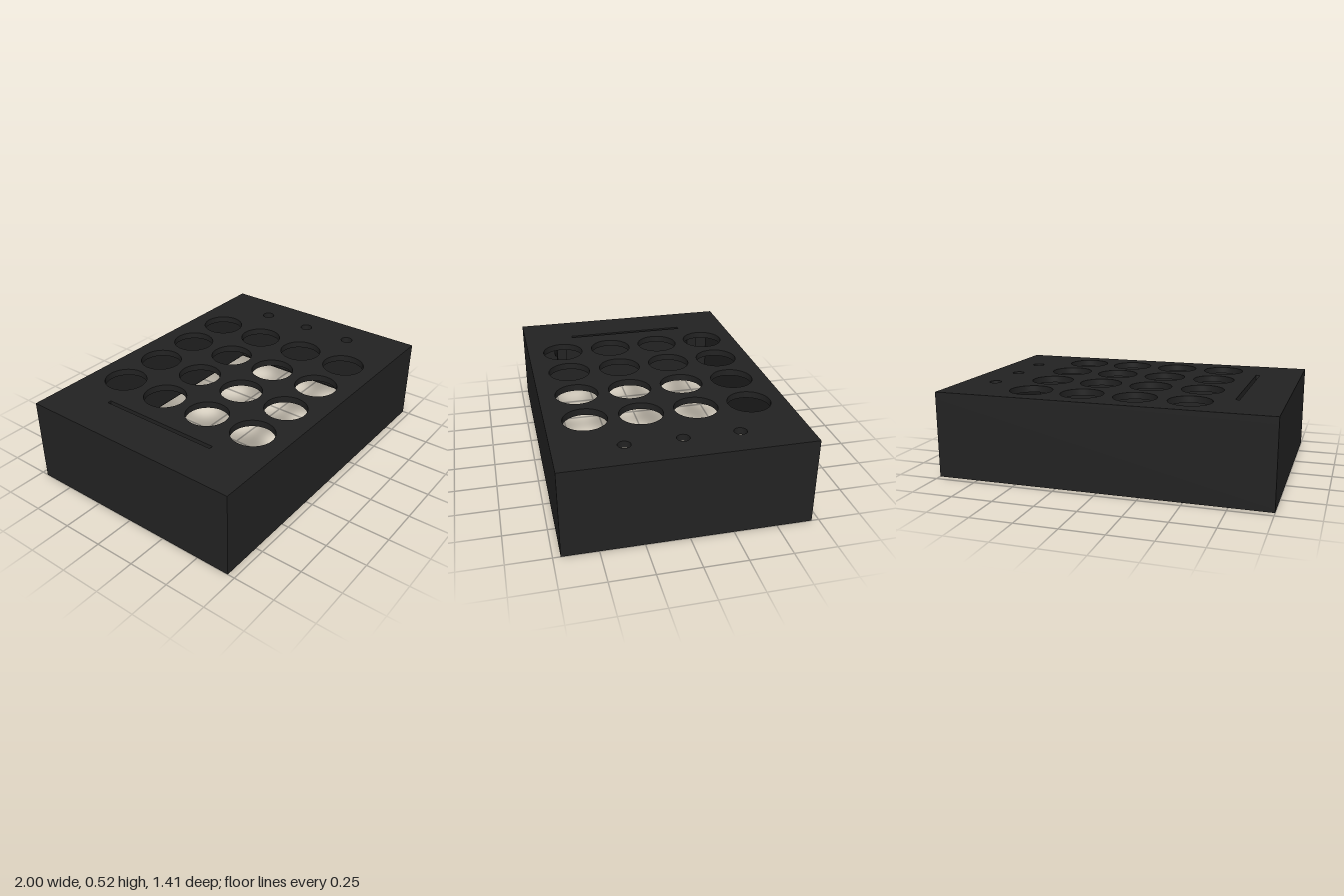
import * as THREE from 'three';
import { toCreasedNormals } from 'three/addons/utils/BufferGeometryUtils.js';

const W = 1, D = 0.707, H = 0.52;       // half width, half depth, height
const WALL = 0.04, LIP = 0.02, PLATE = 0.04;

const material = new THREE.MeshStandardMaterial({ color: 0x222222 });

// Rectangle outline centred on (x, z), given half sizes
function rect(Type, x, z, w, d) {
  const p = new Type();
  p.moveTo(x - w, -z - d);
  p.lineTo(x + w, -z - d);
  p.lineTo(x + w, -z + d);
  p.lineTo(x - w, -z + d);
  p.closePath();
  return p;
}

function circle(x, z, r) {
  const p = new THREE.Path();
  p.absarc(x, -z, r, 0, Math.PI * 2, true);
  return p;
}

// Extrude a plan shape upward from y0 to y1
function slab(name, shape, holes, y0, y1) {
  shape.holes.push(...holes);
  let geometry = new THREE.ExtrudeGeometry(shape, { depth: y1 - y0, bevelEnabled: false, curveSegments: 32 });
  geometry.rotateX(-Math.PI / 2);
  geometry.translate(0, y0, 0);
  geometry = toCreasedNormals(geometry, 0.5);
  const mesh = new THREE.Mesh(geometry, material);
  mesh.name = name;
  return mesh;
}

export function createModel() {
  const group = new THREE.Group();
  group.name = 'buttonBoxEnclosure';

  // Top plate: 4 x 4 button holes, three knob holes and a long slot
  const holes = [];
  for (let i = 0; i < 4; i++) {
    for (let j = 0; j < 4; j++) {
      holes.push(circle(-0.481 + i * 0.322, -0.486 + j * 0.322, 0.128));
    }
  }
  for (const z of [-0.324, -0.002, 0.32]) holes.push(circle(0.805, z, 0.037));
  holes.push(rect(THREE.Path, -0.727, 0.003, 0.012, 0.382));
  group.add(slab('topPlate', rect(THREE.Shape, 0, 0, W, D), holes, H - PLATE, H));

  // Side walls, open at the bottom
  group.add(slab('walls', rect(THREE.Shape, 0, 0, W, D),
    [rect(THREE.Path, 0, 0, W - WALL, D - WALL)], 0.02, H - PLATE));

  // Thinner rim that leaves a step for a base panel
  group.add(slab('bottomRim', rect(THREE.Shape, 0, 0, W, D),
    [rect(THREE.Path, 0, 0, W - LIP, D - LIP)], 0, 0.02));

  // Mounting posts with screw holes under the plate
  for (const x of [-0.865, -0.7]) {
    for (const z of [-0.467, 0.467]) {
      group.add(slab('mountingPost', rect(THREE.Shape, x, z, 0.032, 0.032),
        [circle(x, z, 0.015)], 0.335, H - PLATE));
    }
  }
  return group;
}
